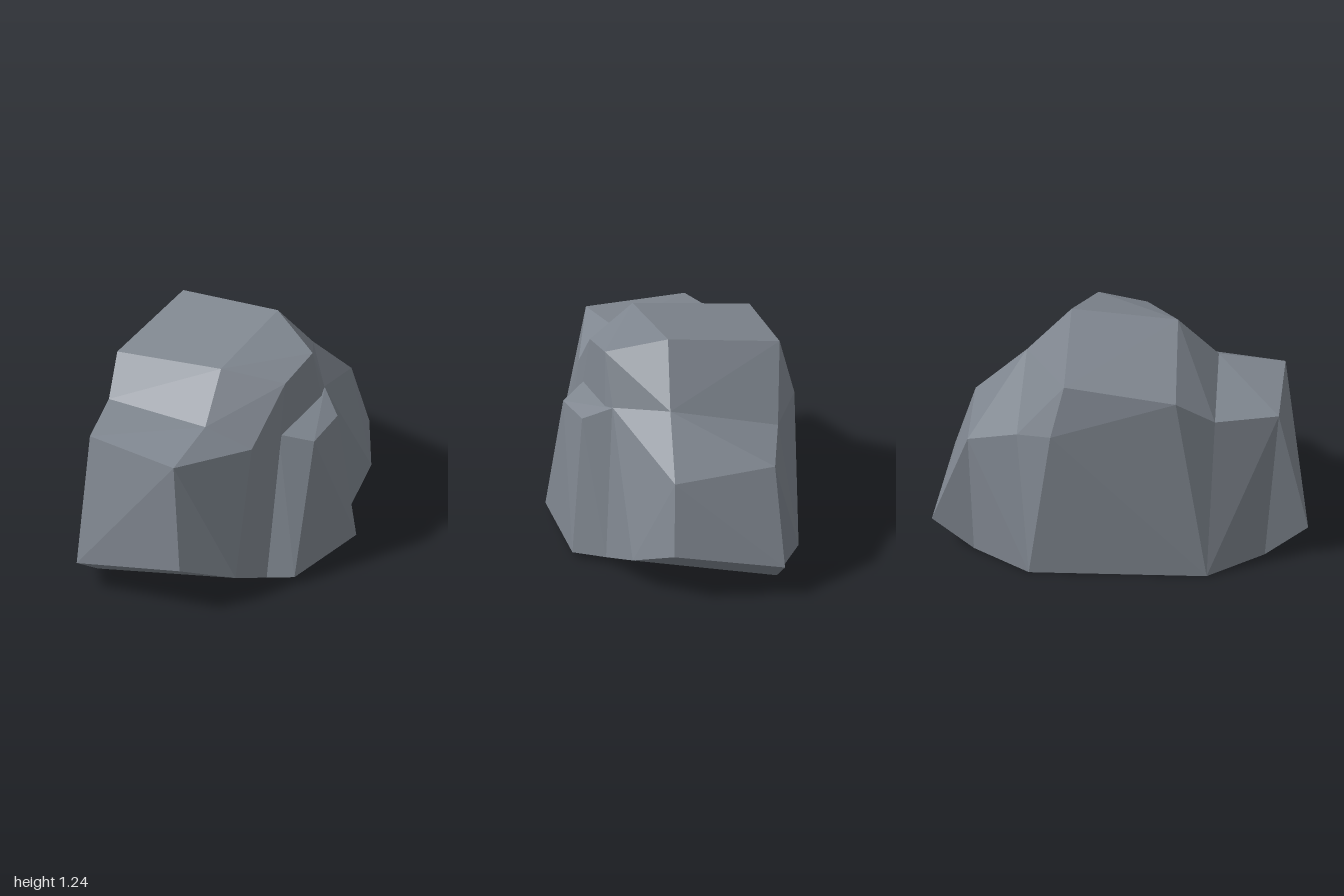
import * as THREE from 'three';
import { ConvexGeometry } from 'three/addons/geometries/ConvexGeometry.js';

const stone = new THREE.MeshStandardMaterial({ color: 0x7f868f });
stone.name = 'slate grey stone';

// A faceted block of rock spanning the given corners
function rock(name, corners) {
  const geometry = new ConvexGeometry(corners.map((c) => new THREE.Vector3(...c)));
  const mesh = new THREE.Mesh(geometry, stone);
  mesh.name = name;
  return mesh;
}

export function createModel() {
  const group = new THREE.Group();
  group.name = 'boulder';

  // Ground corners of the middle
  const footFL = [-0.587, 0, 0.47], footBL = [-0.587, 0, -0.475];
  const footFR = [0.452, 0.04, 0.385], footBR = [0.452, 0.04, -0.37];

  // Ring of corners under the crown
  const frontShoulder = [[-0.475, 0.9, 0.51], [0.14, 0.94, 0.505]];
  const sideFront = [0.363, 0.82, 0.395], sideBack = [0.382, 0.875, -0.265];
  const backShoulder = [[0.14, 0.94, -0.515], [-0.45, 0.78, -0.545]];
  const leftShoulder = [-0.6, 0.86, -0.36];
  const middle = [footFL, footBL, footFR, footBR, ...frontShoulder,
    sideFront, sideBack, ...backShoulder, leftShoulder];

  // Corners shared by each end block and the nose beyond it
  const frontToe = [-0.37, 0.007, 0.77], frontHip = [0.418, 0.155, 0.63];
  const frontBrow = [[-0.37, 0.88, 0.845], [0.175, 0.88, 0.858]];
  const backToe = [-0.37, 0.005, -0.775], backHip = [0.402, 0.17, -0.68];
  const backBrow = [[-0.35, 0.68, -0.81], [0.2, 0.65, -0.79]];

  // Tall middle rising to a sloping cap
  group.add(rock('crown', [
    ...middle,
    [-0.56, 1.06, 0.305], [0.095, 1.177, 0.29], [0.389, 1.097, 0.115],
    [0.388, 1.152, -0.145], [0.077, 1.242, -0.275], [-0.54, 1.14, -0.29],
  ]));
  group.add(rock('core', [...middle, frontHip, backHip]));

  // End blocks, narrowing from the middle
  group.add(rock('frontBlock', [footFL, footFR, frontToe, ...frontBrow, ...frontShoulder]));
  group.add(rock('backBlock', [footBL, backToe, backHip, ...backBrow, ...backShoulder]));

  // Jutting noses with undercut bases
  group.add(rock('frontNose', [
    frontToe, frontHip, ...frontBrow, footFR, sideFront, frontShoulder[1],
    [-0.35, 0.17, 1], [0.242, 0.277, 0.9],
  ]));
  group.add(rock('backNose', [
    backToe, backHip, ...backBrow, sideBack, backShoulder[0],
    [-0.345, 0.17, -1], [0.24, 0.275, -0.9],
  ]));

  // Tapering slab leaning against the side
  group.add(rock('sideSlab', [
    footFR, footBR,
    [0.576, 0.045, 0.305], [0.6, 0.03, -0.245],
    [0.395, 0.815, 0.185], [0.385, 0.872, -0.265],
    [0.549, 0.77, 0.078], [0.525, 0.788, -0.178],
  ]));

  return group;
}
